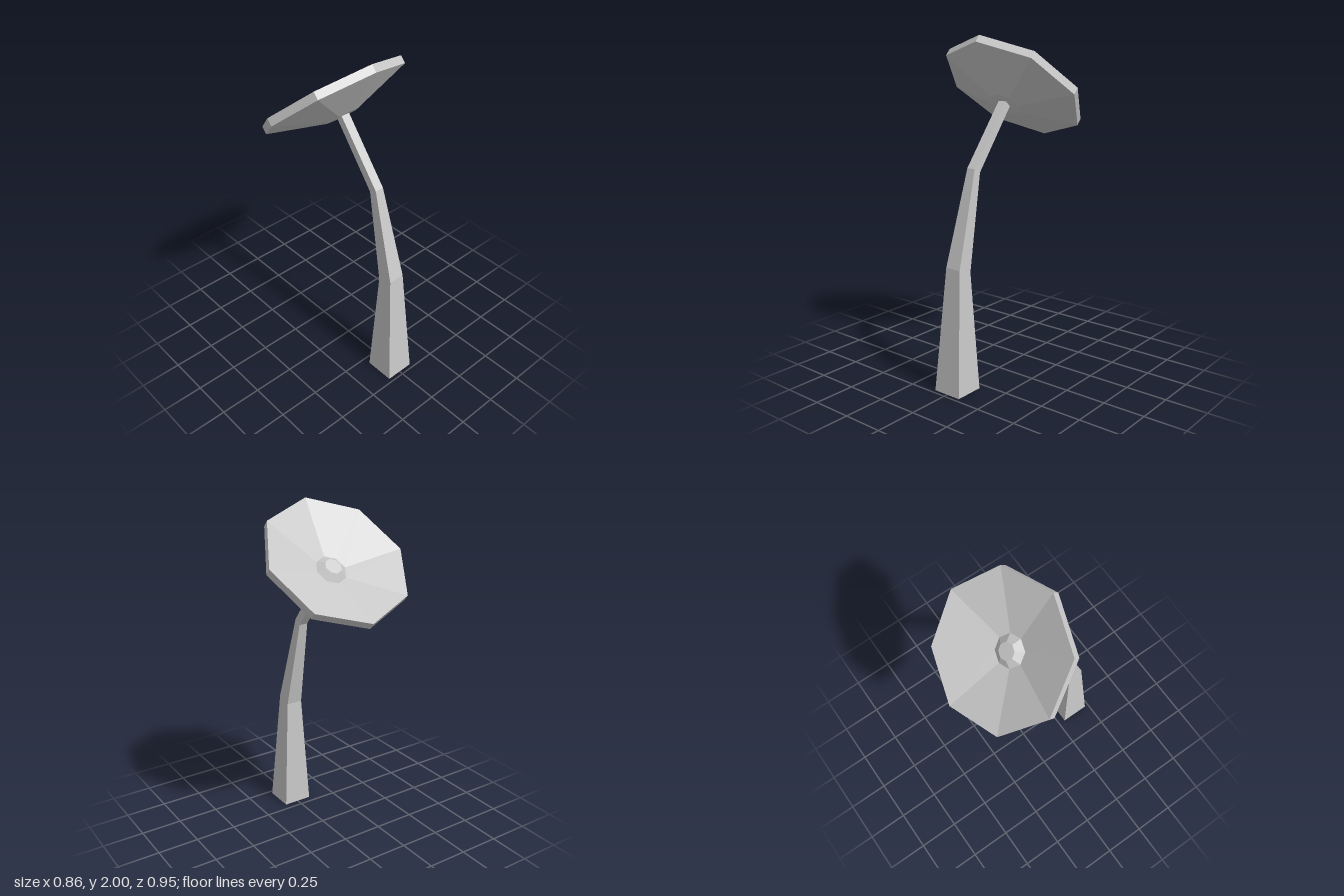
import * as THREE from 'three';

const grey = new THREE.MeshStandardMaterial({ color: 0xc8c8c8, flatShading: true });
grey.name = 'light grey';

// Gives every face its own flat normal
function facet(geometry) {
  geometry.deleteAttribute('normal');
  geometry.deleteAttribute('uv');
  const flat = geometry.index ? geometry.toNonIndexed() : geometry;
  flat.computeVertexNormals();
  return flat;
}

// Lofts four-cornered sections: half width, front edge [y, z], back edge [y, z]
function loftStem(sections) {
  const positions = [];
  const indices = [];
  for (const [h, [fy, fz], [by, bz]] of sections) {
    positions.push(-h, fy, fz, h, fy, fz, h, by, bz, -h, by, bz);
  }
  for (let s = 0; s < sections.length - 1; s++) {
    for (let i = 0; i < 4; i++) {
      const a = s * 4 + i;
      const b = s * 4 + (i + 1) % 4;
      indices.push(a, b, b + 4, a, b + 4, a + 4);
    }
  }
  const t = (sections.length - 1) * 4;
  indices.push(0, 2, 1, 0, 3, 2, t, t + 1, t + 2, t, t + 2, t + 3);
  const geometry = new THREE.BufferGeometry();
  geometry.setAttribute('position', new THREE.Float32BufferAttribute(positions, 3));
  geometry.setIndex(indices);
  return facet(geometry);
}

export function createModel() {
  const model = new THREE.Group();
  model.name = 'dishOnStem';

  // Bent, tapering square stem
  const stem = new THREE.Mesh(loftStem([
    [0.09, [0, 0.475], [0, 0.295]],
    [0.05, [0.73, 0.41], [0.7, 0.32]],
    [0.027, [1.275, 0.25], [1.25, 0.205]],
    [0.027, [1.637, -0.035], [1.608, -0.071]],
  ]), grey);
  stem.name = 'stem';
  model.add(stem);

  // Tilted eight-sided dish: closed shell with a hollow face
  const head = new THREE.Group();
  head.name = 'dishHead';
  head.position.set(0, 1.717, -0.15);
  head.rotation.x = -0.717;
  model.add(head);

  const lathe = (name, profile) => {
    const points = profile.map(([r, y]) => new THREE.Vector2(r, y));
    const mesh = new THREE.Mesh(facet(new THREE.LatheGeometry(points, 8)), grey);
    mesh.name = name;
    head.add(mesh);
  };
  lathe('dish', [[0, -0.148], [0.094, -0.148], [0.43, -0.047], [0.43, 0], [0.093, -0.1]]);

  // Raised hub in the middle of the dish
  lathe('hub', [[0.093, -0.1], [0.05, -0.068], [0, -0.068]]);

  return model;
}
